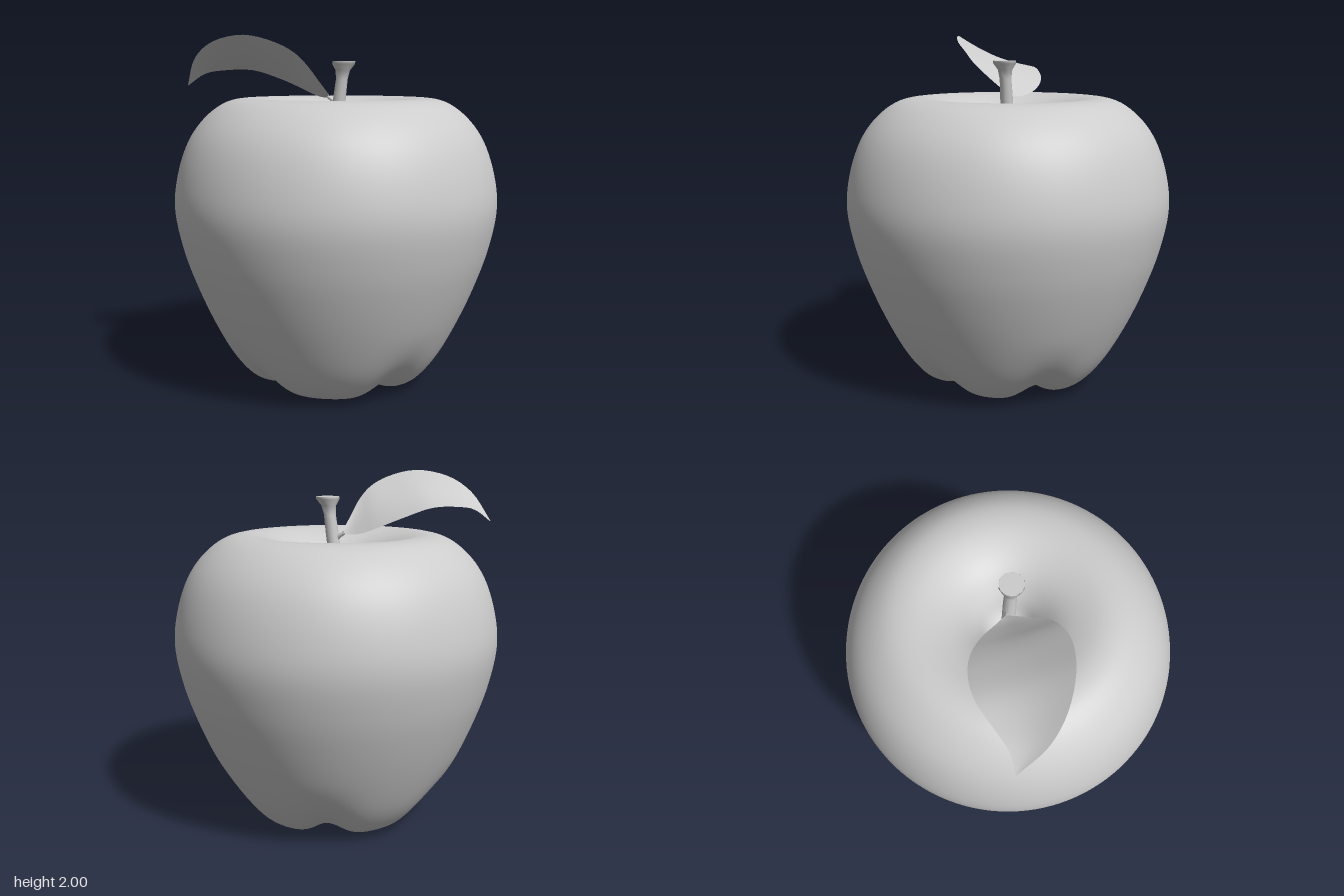
import * as THREE from 'three';
import { mergeVertices } from 'three/addons/utils/BufferGeometryUtils.js';

const skin = new THREE.MeshStandardMaterial({ color: 0xcccccc, side: THREE.DoubleSide });
skin.name = 'pale grey';

function named(name, geometry) {
  const mesh = new THREE.Mesh(geometry, skin);
  mesh.name = name;
  return mesh;
}

// Weld the seam, so that the normals are smooth all the way round
function smooth(geometry) {
  geometry.deleteAttribute('uv');
  geometry.deleteAttribute('normal');
  const welded = mergeVertices(geometry, 1e-5);
  welded.computeVertexNormals();
  return welded;
}

// Fruit: a lathed profile with a dimple on top and five grooves underneath
function fruit() {
  const profile = new THREE.SplineCurve([
    [0, 0.2], [0.08, 0.15], [0.18, 0.06], [0.26, 0.015], [0.34, 0], [0.43, 0.02], [0.52, 0.08],
    [0.62, 0.21], [0.72, 0.4], [0.81, 0.61], [0.88, 0.82], [0.92, 1.04], [0.9, 1.23],
    [0.84, 1.41], [0.75, 1.54], [0.63, 1.63], [0.5, 1.655], [0.37, 1.625], [0.26, 1.565],
    [0.17, 1.47], [0.1, 1.36], [0, 1.29],
  ].map(([r, y]) => new THREE.Vector2(r, y))).getPoints(100);
  profile[0].x = profile[100].x = 0;
  const geometry = new THREE.LatheGeometry(profile, 120);
  const grooves = [23, 110, 181, 252, 318].map(THREE.MathUtils.degToRad);
  const p = geometry.attributes.position;
  for (let i = 0; i < p.count; i++) {
    const x = p.getX(i), y = p.getY(i), z = p.getZ(i);
    if (y > 0.45) continue;
    const r = Math.hypot(x, z), angle = Math.atan2(z, x);
    let groove = 0;
    for (const a of grooves) {
      const d = Math.atan2(Math.sin(angle - a), Math.cos(angle - a));
      groove += Math.exp(-((d / 0.24) ** 2));
    }
    const fade = (1 - y / 0.45) ** 2 * groove * Math.min(1, r / 0.2);
    p.setXYZ(i, x * (1 - 0.09 * fade), y + 0.06 * fade, z * (1 - 0.09 * fade));
  }
  return smooth(geometry);
}

// Stem: slim, leaning to +x, with a flared flat end
function stem() {
  const profile = [
    [0.045, 1.27], [0.037, 1.45], [0.037, 1.65], [0.034, 1.76], [0.042, 1.81],
    [0.066, 1.845], [0.066, 1.86],
  ].map(([r, y]) => new THREE.Vector2(r, y));
  const geometry = new THREE.LatheGeometry(profile, 10);
  const p = geometry.attributes.position;
  for (let i = 0; i < p.count; i++) {
    const lean = 0.052 - (1.86 - p.getY(i)) * 0.14;
    p.setX(i, p.getX(i) + lean);
  }
  return smooth(geometry);
}

// Leaf: lofted between its raised front edge and its low back edge
function leaf() {
  const curve = (pts) => new THREE.CatmullRomCurve3(pts.map((q) => new THREE.Vector3(...q)));
  const front = curve([
    [-0.035, 1.66, 0], [-0.04, 1.75, 0.12], [-0.05, 1.84, 0.23], [-0.085, 1.905, 0.3],
    [-0.16, 1.96, 0.38], [-0.31, 1.998, 0.45], [-0.5, 1.965, 0.478], [-0.65, 1.88, 0.45],
    [-0.8, 1.72, 0.345],
  ]);
  const back = curve([
    [-0.035, 1.66, 0], [-0.1, 1.655, -0.03], [-0.19, 1.67, -0.067], [-0.3, 1.71, -0.08],
    [-0.42, 1.76, -0.05], [-0.55, 1.81, 0.04], [-0.65, 1.81, 0.18], [-0.72, 1.79, 0.28],
    [-0.8, 1.72, 0.345],
  ]);
  const rows = 32, cols = 12;
  const geometry = new THREE.PlaneGeometry(1, 1, cols, rows);
  const p = geometry.attributes.position;
  for (let i = 0; i <= rows; i++) {
    const a = front.getPoint(i / rows), b = back.getPoint(i / rows);
    for (let j = 0; j <= cols; j++) {
      const v = j / cols, q = b.clone().lerp(a, v);
      const sag = 0.06 * a.distanceTo(b) * Math.sin(Math.PI * v);
      p.setXYZ(i * (cols + 1) + j, q.x, q.y - sag, q.z);
    }
  }
  // Turn the faces so that the front side looks up
  const index = geometry.index;
  geometry.computeVertexNormals();
  const mid = (rows / 2) * (cols + 1) + cols / 2;
  if (geometry.attributes.normal.getY(mid) < 0) {
    for (let i = 0; i < index.count; i += 3) {
      const k = index.getX(i);
      index.setX(i, index.getX(i + 1));
      index.setX(i + 1, k);
    }
  }
  return smooth(geometry);
}

export function createModel() {
  const apple = new THREE.Group();
  apple.name = 'apple';
  apple.add(named('fruit', fruit()), named('stem', stem()), named('leaf', leaf()));

  // Flat end of the stem
  const end = named('stemEnd', new THREE.CircleGeometry(0.066, 10));
  end.rotation.x = -Math.PI / 2;
  end.position.set(0.052, 1.86, 0);
  apple.add(end);

  // Short stalk joining leaf and stem
  const path = new THREE.CatmullRomCurve3([
    new THREE.Vector3(0.01, 1.61, 0), new THREE.Vector3(-0.02, 1.64, 0), new THREE.Vector3(-0.05, 1.662, 0.005),
  ]);
  apple.add(named('leafStalk', new THREE.TubeGeometry(path, 6, 0.011, 8)));
  return apple;
}
